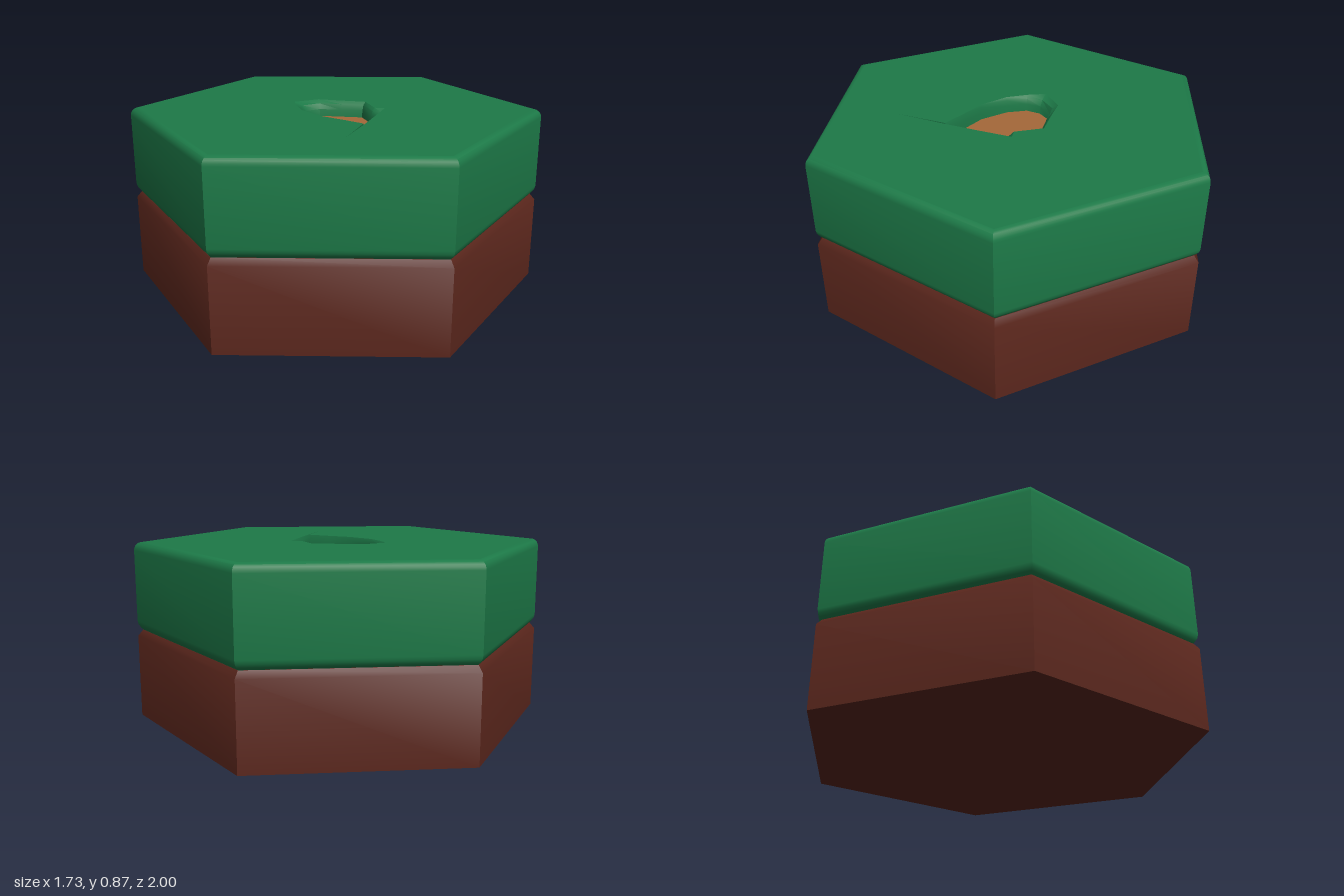
import * as THREE from 'three';
import { toCreasedNormals } from 'three/addons/utils/BufferGeometryUtils.js';

const TOP = 0.866, FLOOR = 0.79, SEAM = 0.435;

// Hole outline pairs: [floor x, floor z, rim x, rim z]
const HOLE = [
  [0.05, -0.18, 0.055, -0.205], [0.15, -0.09, 0.16, -0.11], [0.2, -0.08, 0.205, -0.13],
  [0.235, 0.055, 0.245, 0.04], [0.268, 0.18, 0.278, 0.19], [0.272, 0.192, 0.33, 0.46],
  [0.265, 0.192, 0.272, 0.2], [0.15, 0.18, 0.15, 0.185], [0.03, 0.17, 0.03, 0.175],
  [-0.1, 0.11, -0.11, 0.12], [-0.17, 0.04, -0.19, 0.05], [-0.18, -0.03, -0.25, -0.02],
  [-0.15, -0.1, -0.18, -0.135], [-0.05, -0.14, -0.055, -0.17],
];

const material = (color) => new THREE.MeshStandardMaterial({ color, side: THREE.DoubleSide });

// Six-sided band from a profile of [corner radius, height]
function hexBand(profile) {
  const points = profile.map(([r, y]) => new THREE.Vector2(r, y));
  return toCreasedNormals(new THREE.LatheGeometry(points, 6), 0.7);
}

// Horizontal sheet from x/z points, facing up
function sheet(points, y, hole) {
  const flip = ([x, z]) => new THREE.Vector2(x, -z);
  const shape = new THREE.Shape(points.map(flip));
  if (hole) shape.holes.push(new THREE.Path(hole.map(flip)));
  return new THREE.ShapeGeometry(shape).rotateX(-Math.PI / 2).translate(0, y, 0);
}

function hexagon(radius) {
  return Array.from({ length: 6 }, (_, i) => {
    const a = i * Math.PI / 3;
    return [radius * Math.sin(a), radius * Math.cos(a)];
  });
}

// Wall of the hole: rings from the floor up to a rounded lip
function holeWall() {
  const rings = [[0, 0], [0.12, 0.45], [0.4, 0.8], [1, 1]];
  const n = HOLE.length, positions = [], index = [];
  for (const [out, up] of rings) {
    for (const [x, z, rx, rz] of HOLE) {
      positions.push(x + (rx - x) * out, FLOOR + (TOP - FLOOR) * up, z + (rz - z) * out);
    }
  }
  for (let r = 0; r < rings.length - 1; r++) {
    for (let i = 0; i < n; i++) {
      const a = r * n + i, b = r * n + (i + 1) % n;
      index.push(a, b, a + n, b, b + n, a + n);
    }
  }
  const geometry = new THREE.BufferGeometry();
  geometry.setAttribute('position', new THREE.Float32BufferAttribute(positions, 3));
  geometry.setIndex(index);
  return toCreasedNormals(geometry, 0.7);
}

export function createModel() {
  const model = new THREE.Group();
  model.name = 'hexTile';
  const brown = material(0x5a261c), green = material(0x1d7a48), clay = material(0xa5683a);
  const add = (name, geometry, mat, parent = model) => {
    const mesh = new THREE.Mesh(geometry, mat);
    mesh.name = name;
    parent.add(mesh);
  };

  // Soil block with a chamfered upper edge
  add('soilBase', hexBand([[0, 0], [1, 0], [1, 0.405], [0.975, SEAM], [0, SEAM]]), brown);

  // Grass layer: rounded sides, pierced top and the wall of the hole
  const grass = new THREE.Group();
  grass.name = 'grassLayer';
  model.add(grass);
  const profile = [[0, SEAM], [0.973, SEAM], [0.985, 0.447], [0.996, 0.462], [1, 0.48]];
  const bevel = 0.04;
  for (let i = 0; i <= 5; i++) {
    const a = i / 5 * Math.PI / 2;
    profile.push([1 - bevel + bevel * Math.cos(a), TOP - bevel + bevel * Math.sin(a)]);
  }
  add('grassSides', hexBand(profile), green, grass);
  add('grassTop', sheet(hexagon(1 - bevel), TOP, HOLE.map((p) => [p[2], p[3]])), green, grass);
  add('holeWall', holeWall(), green, grass);

  // Bare earth at the bottom of the hole
  add('holeFloor', sheet(HOLE.map((p) => [p[0], p[1]]), FLOOR), clay);
  return model;
}
